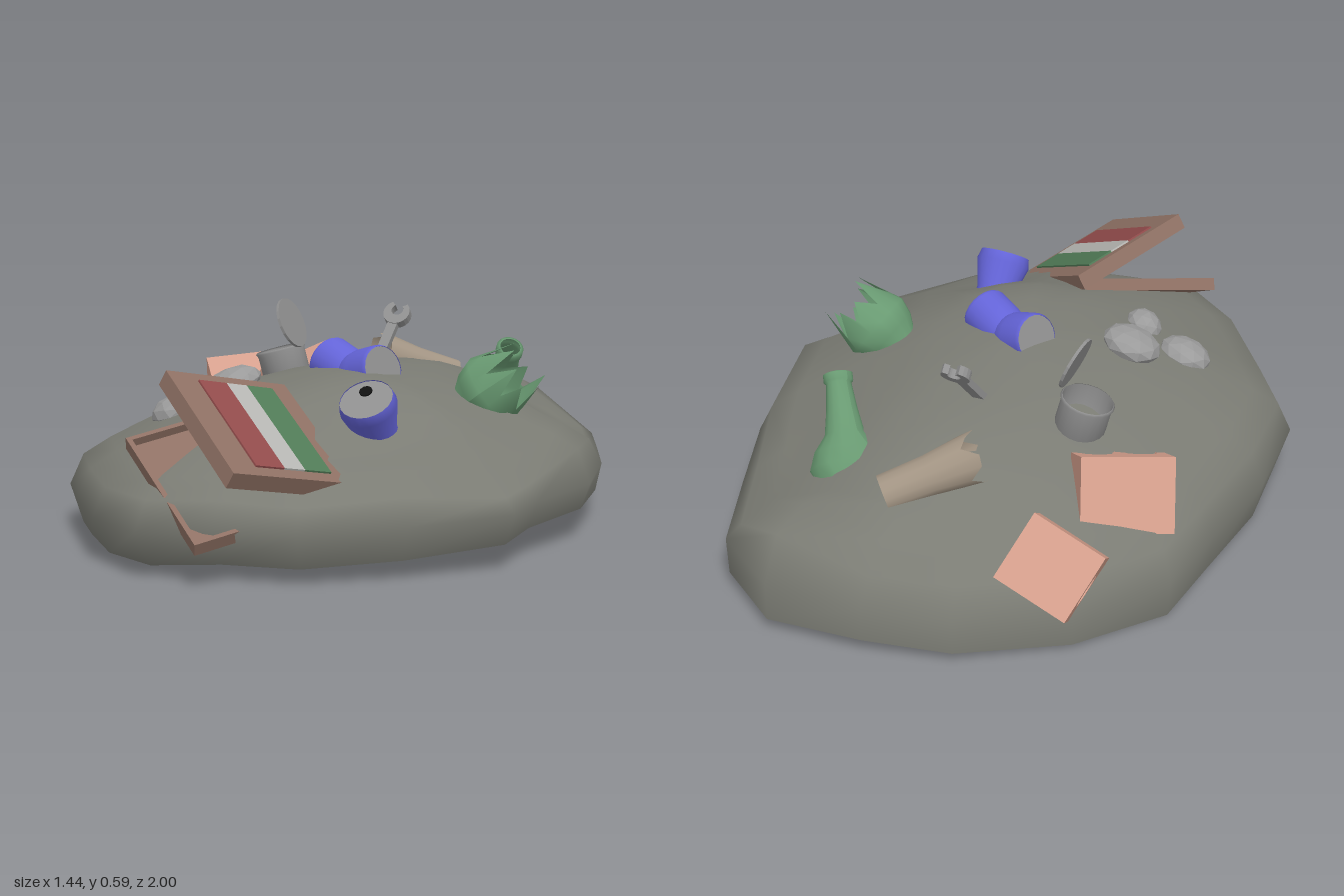
import * as THREE from 'three';

const V = (x, y, z) => new THREE.Vector3(x, y, z);
const mat = (color, flatShading = false) =>
  new THREE.MeshStandardMaterial({ color, flatShading, side: THREE.DoubleSide });
const EARTH = 0x7b7c74, CARD = 0x8f7164, BLUE = 0x6464d8, GREEN = 0x699a72,
  STEEL = 0x909090, CLAY = 0xd6a08d, TAN = 0xa39584;

function mesh(parent, name, geometry, material) {
  const m = new THREE.Mesh(geometry, material);
  m.name = name;
  parent.add(m);
  return m;
}

function group(parent, name) {
  const g = new THREE.Group();
  g.name = name;
  parent.add(g);
  return g;
}

// Stand an object at a point with its +y axis aimed at another point
function aim(obj, from, to) {
  obj.position.copy(from);
  obj.quaternion.setFromUnitVectors(V(0, 1, 0), to.clone().sub(from).normalize());
  return obj;
}

const lathe = (pts, sides) => new THREE.LatheGeometry(pts.map(p => new THREE.Vector2(...p)), sides);

// Hollow mound: rings of one irregular outline, shrunk and raised, with bumps and hollows
function mound() {
  const outline = [[0.02, -1], [0.29, -1], [0.48, -0.86], [0.57, -0.6], [0.66, -0.33], [0.72, 0],
    [0.66, 0.28], [0.66, 0.48], [0.45, 0.7], [0.22, 0.87], [0, 0.89], [-0.2, 0.92], [-0.4, 0.76],
    [-0.58, 0.5], [-0.7, 0.31], [-0.72, 0], [-0.68, -0.3], [-0.65, -0.55], [-0.47, -0.78], [-0.21, -0.95]];
  const rings = [[0.965, 0.04], [1, 0.13], [0.95, 0.205], [0.85, 0.25], [0.75, 0.288], [0.65, 0.325],
    [0.55, 0.352], [0.45, 0.38], [0.35, 0.403], [0.22, 0.422], [0.1, 0.435]];
  // x, z, height, spread
  const bumps = [[0.26, -0.9, 0.07, 0.01], [0.43, -0.62, -0.06, 0.04], [0.5, -0.82, -0.03, 0.015],
    [0.62, 0.36, -0.05, 0.03], [0.33, 0.8, -0.04, 0.015], [0.28, 0.47, -0.04, 0.012], [0.11, 0.23, 0.025, 0.015],
    [0.02, -0.58, 0.04, 0.04], [0.69, 0, 0.02, 0.02], [-0.68, 0.1, 0.02, 0.05]];
  const n = outline.length, pos = [], idx = [];
  rings.forEach(([s, h], r) => outline.forEach(([ox, oz]) => {
    const scale = r === 0 ? s - 0.035 * oz : s;
    const x = ox * scale, z = oz * scale;
    let y = r === 0 ? h + 0.06 * x - 0.09 * Math.max(0, x) * z * z : h + 0.03 * x;
    if (r > 1) for (const [bx, bz, a, w] of bumps) y += a * Math.exp(-((x - bx) ** 2 + (z - bz) ** 2) / w);
    pos.push(x, Math.max(0, y), z);
  }));
  pos.push(0, 0.44, 0);
  for (let r = 0; r < rings.length; r++) for (let i = 0; i < n; i++) {
    const j = (i + 1) % n, a = r * n + i, b = r * n + j;
    if (r === rings.length - 1) idx.push(a, rings.length * n, b);
    else idx.push(a, a + n, b, b, a + n, b + n);
  }
  const g = new THREE.BufferGeometry();
  g.setAttribute('position', new THREE.Float32BufferAttribute(pos, 3));
  g.setIndex(idx);
  g.computeVertexNormals();
  return g;
}

// Block inside a slanted frame: spans are fractions of u and v, heights go along the normal
function block(parent, name, [o, u, v], [u0, u1], [v0, v1], [h0, h1], color) {
  const n = u.clone().cross(v).normalize();
  const g = new THREE.BoxGeometry(u1 - u0, v1 - v0, h1 - h0);
  g.translate((u0 + u1) / 2, (v0 + v1) / 2, (h0 + h1) / 2);
  g.applyMatrix4(new THREE.Matrix4().makeBasis(u, v, n).setPosition(o));
  g.computeVertexNormals();
  return mesh(parent, name, g, mat(color, true));
}

// Shallow tray: panel with four walls on one side
function tray(parent, name, frame, wall) {
  const t = 0.012, w = 0.03, h = wall > 0 ? [0, wall] : [wall, 0];
  const g = group(parent, name);
  block(g, 'panel', frame, [0, 1], [0, 1], wall > 0 ? [0, t] : [-t, 0], CARD);
  for (const s of [[0, w], [1 - w, 1]]) {
    block(g, 'wall', frame, s, [0, 1], h, CARD);
    block(g, 'wall', frame, [0, 1], s, h, CARD);
  }
}

// Broken bottle: neck at the origin, jagged rim curling in along +y
function bottle(parent, name, neck, rim) {
  const pts = [[0.03, 0], [0.04, 0.004], [0.04, 0.025], [0.034, 0.03], [0.042, 0.1],
    [0.054, 0.17], [0.088, 0.215], [0.104, 0.26], [0.094, 0.31]];
  const sides = 16, g = lathe(pts, sides), p = g.attributes.position;
  for (let i = 0; i <= sides; i++) {
    const k = i % sides, last = i * pts.length + pts.length - 1;
    const pull = k % 2 ? 1 : 0.72;
    p.setXYZ(last, p.getX(last) * pull, k % 2 ? 0.3 : 0.375 + 0.025 * Math.sin(k * 2.3), p.getZ(last) * pull);
  }
  g.computeVertexNormals();
  aim(mesh(parent, name, g, mat(GREEN)), neck, rim);
}

// Drink can section with a grey end plate
function can(parent, name, from, to, pts, radius) {
  const len = from.distanceTo(to);
  const g = aim(group(parent, name), from, to);
  mesh(g, 'body', lathe(pts.map(([r, t]) => [r * radius, t * len]), 20), mat(BLUE));
  mesh(g, 'endPlate', new THREE.CylinderGeometry(radius * 0.92, radius * 0.92, 0.006, 20), mat(STEEL, true))
    .position.y = len - 0.006;
  return g;
}

export function createModel() {
  const root = new THREE.Group();
  root.name = 'rubbishHeap';
  mesh(root, 'mound', mound(), mat(EARTH));

  // Open takeaway box with striped lid
  const box = group(root, 'takeawayBox');
  const lid = [V(-0.02, 0.435, 0.375), V(-0.18, 0.075, 0.35), V(0.31, -0.2, 0.275)];
  tray(box, 'lid', lid, -0.045);
  tray(box, 'base', [V(-0.03, 0.385, 0.38), V(-0.3, -0.09, 0.32), V(0.31, -0.21, 0.25)], 0.035);
  [[0.16, 0.38, 0x527c58], [0.38, 0.55, 0xb8b8b4], [0.55, 0.78, 0x934c4c]].forEach(([a, b, c]) =>
    block(box, 'stripe', lid, [a, b], [0.08, 0.92], [0, 0.005], c));

  // Drink cans: one dented, one folded in the middle
  const canTop = V(0.24, 0.42, 0.445);
  const dented = can(root, 'drinkCan', V(0.245, 0.27, 0.335), canTop,
    [[0, 0], [0.75, 0], [0.8, 0.12], [0.72, 0.4], [1, 0.85], [0.92, 1]], 0.078);
  const len = dented.position.distanceTo(canTop);
  mesh(dented, 'base', new THREE.CylinderGeometry(0.056, 0.056, 0.006, 20), mat(STEEL, true)).position.y = -0.002;
  mesh(dented, 'opening', new THREE.CylinderGeometry(0.018, 0.018, 0.004, 10), mat(0x111111))
    .position.set(-0.01, len - 0.001, -0.03);
  const folded = group(root, 'foldedCan'), half = [[0.8, -0.1], [0.93, 0.1], [1, 0.35], [1, 0.92], [0.92, 1]];
  can(folded, 'canHalf', V(0.035, 0.41, 0.005), V(-0.065, 0.45, -0.045), half, 0.07);
  can(folded, 'canHalf', V(0.035, 0.41, 0.005), V(0.145, 0.445, 0.065), half, 0.07);

  // Broken bottles
  bottle(root, 'brokenBottle', V(0.21, 0.235, -0.04), V(0.5, 0.445, -0.05));
  bottle(root, 'buriedBottle', V(0.35, 0.455, -0.44), V(0.21, 0.19, -0.65));

  // Torn cardboard tube
  const tubePts = [[0.05, 0], [0.055, 0.13], [0.07, 0.25]];
  const tube = lathe(tubePts, 14), tp = tube.attributes.position;
  for (let i = 0; i <= 14; i++) tp.setY(i * 3 + 2, 0.25 + 0.025 * Math.sin((i % 14) * 1.9));
  tube.computeVertexNormals();
  aim(mesh(root, 'cardboardTube', tube, mat(TAN)), V(0.075, 0.315, -0.74), V(-0.12, 0.39, -0.6));

  // Open-ended spanner
  const spanner = aim(group(root, 'spanner'), V(-0.03, 0.36, -0.29), V(0, 0.55, -0.46));
  mesh(spanner, 'shaft', new THREE.BoxGeometry(0.03, 0.24, 0.02), mat(STEEL, true)).position.y = 0.1;
  const jaw = new THREE.Shape();
  jaw.absarc(0, 0, 0.04, 2.2, 7.2, false);
  jaw.absarc(0, 0.008, 0.018, 7.2, 2.2, true);
  const jawGeo = new THREE.ExtrudeGeometry(jaw, { depth: 0.026, bevelEnabled: false, curveSegments: 8 });
  mesh(spanner, 'jaw', jawGeo.translate(0, 0.235, -0.013), mat(STEEL, true));

  // Opened food tin with raised lid
  const tin = group(root, 'foodTin');
  aim(mesh(tin, 'tinWall', lathe([[0, 0], [0.07, 0], [0.07, 0.15], [0.075, 0.16], [0.07, 0.165]], 20),
    mat(STEEL)), V(-0.27, 0.28, -0.29), V(-0.31, 0.435, -0.285));
  aim(mesh(tin, 'tinLid', new THREE.CylinderGeometry(0.075, 0.075, 0.008, 20), mat(STEEL, true)),
    V(-0.26, 0.52, -0.25), V(0.66, 0.9, -0.21));

  // Broken bricks, one pierced and one snapped across its holes
  const square = new THREE.Shape([[-1, -1], [1, -1], [1, 1], [-1, 1]].map(([x, y]) => new THREE.Vector2(x * 0.095, y * 0.095)));
  square.holes.push(new THREE.Path().absarc(0, 0, 0.05, 0, Math.PI * 2, true));
  const cube = new THREE.ExtrudeGeometry(square, { depth: 0.21, bevelEnabled: false, curveSegments: 10 });
  cube.translate(0, 0, -0.105).rotateY(Math.PI / 2);
  const piece = mesh(root, 'piercedBrick', cube, mat(CLAY, true));
  piece.position.set(-0.41, 0.235, -0.775);
  piece.rotation.set(0.6, 0.25, 0.35);

  const snapped = new THREE.Shape();
  snapped.moveTo(-0.125, 0.08).lineTo(-0.125, -0.05).lineTo(-0.102, -0.065);
  snapped.absarc(-0.06, -0.05, 0.042, Math.PI, 0, true);
  snapped.lineTo(0.005, -0.08);
  snapped.absarc(0.06, -0.04, 0.042, Math.PI, 0, true);
  snapped.lineTo(0.125, -0.06).lineTo(0.125, 0.08);
  const snapGeo = new THREE.ExtrudeGeometry(snapped, { depth: 0.2, bevelEnabled: false, curveSegments: 8 });
  const brick = mesh(root, 'snappedBrick', snapGeo.translate(0, 0, -0.1).rotateX(-Math.PI / 2), mat(CLAY, true));
  brick.position.set(-0.465, 0.27, -0.43);
  brick.rotation.set(0.45, 0.59, 0.1, 'YXZ');

  // Stones
  [[-0.28, 0.39, 0.13, 0.085, 0.09], [-0.4, 0.325, 0.24, 0.073, 0.078], [-0.25, 0.355, 0.305, 0.063, 0.052]]
    .forEach(([x, y, z, sx, sz], i) => {
      const s = mesh(root, 'stone', new THREE.IcosahedronGeometry(1, 1), mat(0x9b9b9b, true));
      s.scale.set(sx, 0.045, sz);
      s.position.set(x, y, z);
      s.rotation.set(0.2, i * 1.1, 0.3, 'ZXY');
    });
  return root;
}
